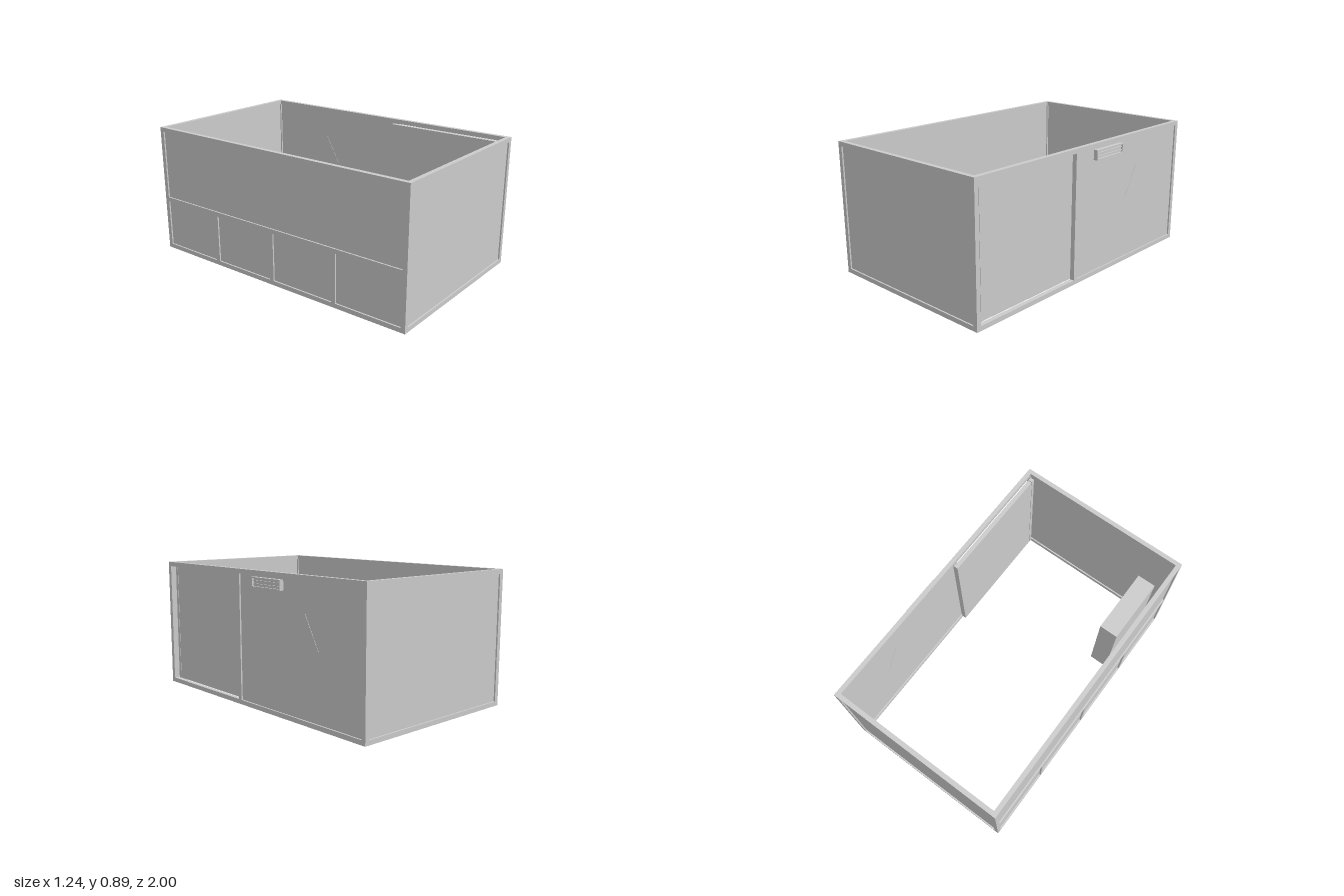
import * as THREE from 'three';

export function createModel() {
  const model = new THREE.Group();
  const grey = new THREE.MeshStandardMaterial({ color: 0xcccccc });

  // Box given by its two corners
  function box(name, [x0, y0, z0], [x1, y1, z1], parent = model) {
    const mesh = new THREE.Mesh(new THREE.BoxGeometry(x1 - x0, y1 - y0, z1 - z0), grey);
    mesh.position.set((x0 + x1) / 2, (y0 + y1) / 2, (z0 + z1) / 2);
    mesh.name = name;
    parent.add(mesh);
    return mesh;
  }

  // Outer limits of the frame and the width of its bars
  const L = -0.62, R = 0.60, B = 0.007, T = 0.89, Z = 1, W = 0.03;
  const inset = 0.01, thick = 0.01;

  // Corner posts and the rails joining them at top and bottom
  for (const x of [L, R - W])
    for (const z of [-Z, Z - W]) box('cornerPost', [x, B, z], [x + W, T, z + W]);
  for (const y of [B, T - W]) {
    for (const x of [L, R - W]) box('sideRail', [x, y, -Z + W], [x + W, y + W, Z - W]);
    for (const z of [-Z, Z - W]) box('endRail', [L + W, y, z], [R - W, y + W, z + W]);
  }

  // Front and back wall panels
  const lo = B + W, hi = T - W;
  box('frontPanel', [L + W, lo, Z - inset - thick], [R - W, hi, Z - inset]);
  box('backPanel', [L + W, lo, -Z + inset], [R - W, hi, -Z + inset + thick]);

  // Left-hand wall: one tall panel above a rail, four small panels below
  const railLow = 0.36, railTop = 0.39;
  box('middleRail', [L, railLow, -Z + W], [L + W, railTop, Z - W]);
  box('upperPanel', [L + inset, railTop, -Z + W], [L + inset + thick, hi, Z - W]);
  const bay = (2 * (Z - W) - 3 * W) / 4;
  for (let i = 0; i < 4; i++) {
    const z = -Z + W + i * (bay + W);
    box('lowerPanel', [L + inset, lo, z], [L + inset + thick, railLow, z + bay]);
    if (i < 3) box('shortPost', [L, lo, z + bay], [L + W, railLow, z + bay + W]);
  }

  // Door wall: dividing post and fixed rear panel
  box('doorPost', [R - W, lo, 0.127], [R, hi, 0.155]);
  box('sidePanel', [R - inset - thick, lo, -Z + W], [R - inset, hi, 0.127]);

  // Sliding door hanging just inside the wall
  const door = new THREE.Group();
  door.name = 'slidingDoor';
  model.add(door);
  box('doorLeaf', [0.536, lo, 0.12], [0.565, hi, 0.934], door);
  box('doorStile', [0.536, lo, 0.938], [0.565, hi, 0.962], door);

  // Triangular warning plate set into the side panel
  const shape = new THREE.Shape();
  shape.moveTo(-0.118, 0.46);
  shape.lineTo(0.118, 0.46);
  shape.lineTo(0, 0.67);
  shape.closePath();
  const plate = new THREE.Mesh(
    new THREE.ExtrudeGeometry(shape, { depth: thick + 0.004, bevelEnabled: false }), grey);
  plate.rotation.y = Math.PI / 2;
  plate.position.set(R - inset - thick - 0.002, 0, -0.5);
  plate.name = 'warningPlate';
  model.add(plate);

  // Slatted fixture high on the outside
  const lamp = new THREE.Group();
  lamp.name = 'wallFixture';
  model.add(lamp);
  const out = 0.618, z0 = -0.305, z1 = -0.028, y0 = 0.785, y1 = 0.85, e = 0.008;
  box('fixtureBack', [R - inset, y0, z0], [R + 0.004, y1, z1], lamp);
  for (const y of [y0, y1 - e]) box('fixtureEdge', [R, y, z0], [out, y + e, z1], lamp);
  for (const z of [z0, z1 - e]) box('fixtureEnd', [R, y0 + e, z], [out, y1 - e, z + e], lamp);
  for (const y of [0.803, 0.824]) box('fixtureSlat', [R, y, z0 + e], [out - 0.005, y + 0.007, z1 - e], lamp);

  // Cabinet inside, with small feet and three knobs
  const cabinet = new THREE.Group();
  cabinet.name = 'cabinet';
  model.add(cabinet);
  box('cabinetBody', [-0.53, 0.01, 0.443], [-0.40, 0.61, 0.91], cabinet);
  const footGeo = new THREE.CylinderGeometry(0.007, 0.007, 0.012, 12);
  for (const x of [-0.515, -0.414])
    for (const z of [0.46, 0.9]) {
      const foot = new THREE.Mesh(footGeo, grey);
      foot.position.set(x, 0.006, z);
      foot.name = 'cabinetFoot';
      cabinet.add(foot);
    }
  const knobGeo = new THREE.CylinderGeometry(0.008, 0.008, 0.01, 16);
  for (const [y, z] of [[0.41, 0.68], [0.46, 0.68], [0.41, 0.61]]) {
    const knob = new THREE.Mesh(knobGeo, grey);
    knob.rotation.z = Math.PI / 2;
    knob.position.set(-0.397, y, z);
    knob.name = 'knob';
    cabinet.add(knob);
  }

  return model;
}
